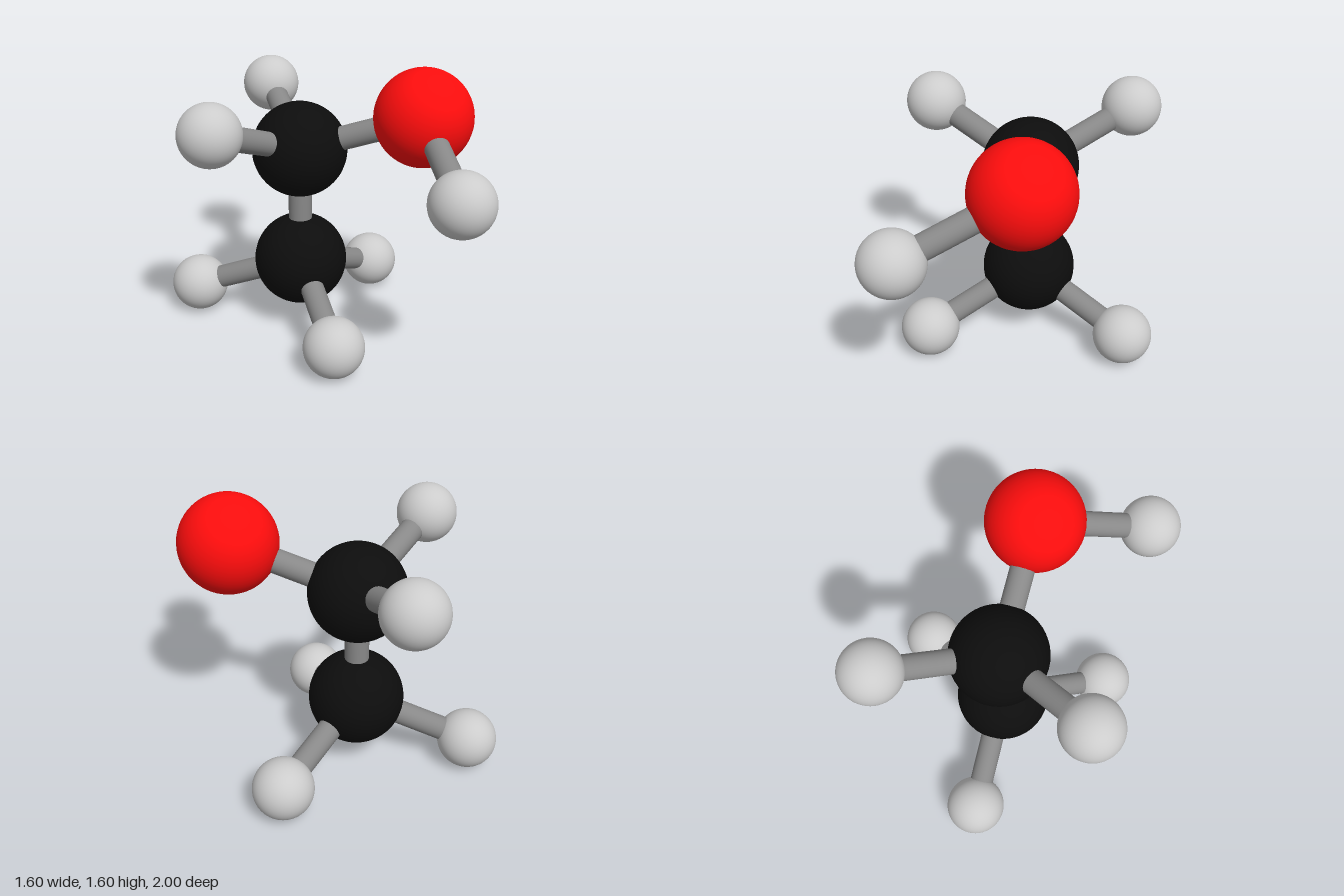
import * as THREE from 'three';

const material = (color) => new THREE.MeshStandardMaterial({ color });

export function createModel() {
  const model = new THREE.Group();
  const kinds = {
    carbon: { radius: 0.272, material: material(0x0d0d0d) },
    oxygen: { radius: 0.272, material: material(0xff0d0d) },
    hydrogen: { radius: 0.17, material: material(0xcccccc) },
  };
  const bondMaterial = material(0x888888);
  const up = new THREE.Vector3(0, 1, 0);

  // Smooth ball for one atom; returns its centre
  function atom(kind, name, x, y, z) {
    const { radius, material } = kinds[kind];
    const ball = new THREE.Mesh(new THREE.SphereGeometry(radius, 48, 32), material);
    ball.name = name;
    ball.position.set(x, y, z);
    model.add(ball);
    return ball.position;
  }

  // Round rod joining two atom centres
  function bond(name, a, b) {
    const rod = new THREE.Mesh(
      new THREE.CylinderGeometry(0.068, 0.068, a.distanceTo(b), 32, 1, true), bondMaterial);
    rod.name = name;
    rod.position.copy(a).add(b).multiplyScalar(0.5);
    rod.quaternion.setFromUnitVectors(up, b.clone().sub(a).normalize());
    model.add(rod);
  }

  // Two stacked carbons
  const cx = -0.07, cz = -0.18;
  const lower = atom('carbon', 'lowerCarbon', cx, 0.41, cz);
  const upper = atom('carbon', 'upperCarbon', cx, 1.095, cz);
  bond('carbonBond', lower, upper);

  // Hydrogens set around each carbon at multiples of 60 degrees from the front
  function hydrogens(carbon, label, y, angles) {
    angles.forEach((degrees, i) => {
      const t = THREE.MathUtils.degToRad(degrees);
      const h = atom('hydrogen', `${label}Hydrogen${i + 1}`,
        cx + 0.65 * Math.sin(t), y, cz + 0.65 * Math.cos(t));
      bond(`${label}HydrogenBond${i + 1}`, carbon, h);
    });
  }
  hydrogens(lower, 'lower', 0.17, [0, 120, 240]);
  hydrogens(upper, 'upper', 1.325, [180, 300]);

  // Oxygen with its own hydrogen
  const oxygen = atom('oxygen', 'oxygen', 0.525, 1.328, 0.18);
  bond('oxygenBond', upper, oxygen);
  const tip = atom('hydrogen', 'hydroxylHydrogen', 0.455, 1.085, 0.83);
  bond('hydroxylBond', oxygen, tip);

  return model;
}
